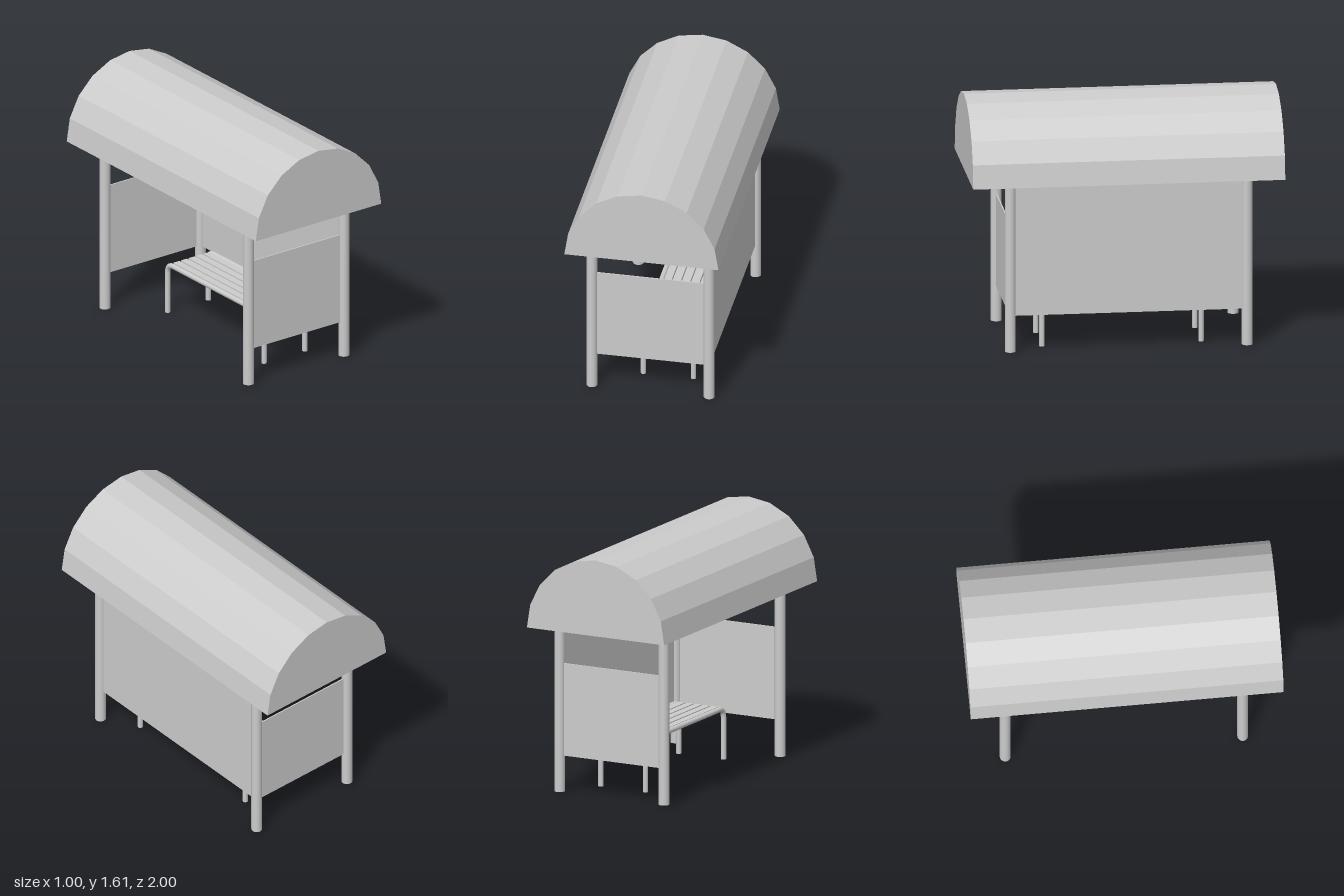
import * as THREE from 'three';

const material = new THREE.MeshStandardMaterial({ color: 0xcccccc });
const flat = new THREE.MeshStandardMaterial({ color: 0xcccccc, flatShading: true });

function add(parent, name, geometry, x, y, z, mat = material) {
  const mesh = new THREE.Mesh(geometry, mat);
  mesh.name = name;
  mesh.position.set(x, y, z);
  parent.add(mesh);
  return mesh;
}

export function createModel() {
  const shelter = new THREE.Group();
  shelter.name = 'shelter';

  const xLeft = 0.39, xRight = -0.37, zFront = 0.75, zBack = -0.768;
  const xMid = (xLeft + xRight) / 2, zMid = (zFront + zBack) / 2;
  const eaves = 1.115, postRadius = 0.035, wallBottom = 0.245, thickness = 0.008;

  // Barrel roof: solid half cylinder with ten facets
  const arc = [];
  for (let i = 0; i <= 10; i++) {
    const a = (i / 10) * Math.PI;
    arc.push(new THREE.Vector2(0.5 * Math.cos(a), 0.497 * Math.sin(a)));
  }
  const roof = new THREE.ExtrudeGeometry(new THREE.Shape(arc), { depth: 2, bevelEnabled: false });
  add(shelter, 'roof', roof, 0, eaves, -1, flat);

  // Four corner posts
  const postGeometry = new THREE.CylinderGeometry(postRadius, postRadius, eaves - 0.01, 16);
  for (const x of [xLeft, xRight])
    for (const z of [zFront, zBack]) add(shelter, 'post', postGeometry, x, (eaves + 0.01) / 2, z);

  // Low end walls and the full-height long wall
  const endGeometry = new THREE.BoxGeometry(xLeft - xRight - postRadius, 0.85 - wallBottom, thickness);
  for (const z of [zFront, zBack]) add(shelter, 'endWall', endGeometry, xMid, (0.85 + wallBottom) / 2, z);
  const longGeometry = new THREE.BoxGeometry(thickness, eaves - wallBottom, zFront - zBack - postRadius);
  add(shelter, 'longWall', longGeometry, xLeft, (eaves + wallBottom) / 2, zMid);

  // Bench: two bent tube frames carrying a slatted seat
  const bench = new THREE.Group();
  bench.name = 'bench';
  shelter.add(bench);
  const benchFront = 0.53, benchBack = -0.49, top = 0.335, bend = 0.06;
  const v = (y, z) => new THREE.Vector3(0, y, z);
  const path = new THREE.CurvePath();
  path.add(new THREE.LineCurve3(v(0, benchFront), v(top - bend, benchFront)));
  path.add(new THREE.QuadraticBezierCurve3(v(top - bend, benchFront), v(top, benchFront), v(top, benchFront - bend)));
  path.add(new THREE.LineCurve3(v(top, benchFront - bend), v(top, benchBack + bend)));
  path.add(new THREE.QuadraticBezierCurve3(v(top, benchBack + bend), v(top, benchBack), v(top - bend, benchBack)));
  path.add(new THREE.LineCurve3(v(top - bend, benchBack), v(0, benchBack)));
  const tube = new THREE.TubeGeometry(path, 90, 0.0175, 12, false);
  const foot = new THREE.CircleGeometry(0.0175, 12).rotateX(Math.PI / 2);
  for (const x of [-0.08, 0.245]) {
    add(bench, 'benchFrame', tube, x, 0, 0);
    for (const z of [benchFront, benchBack]) add(bench, 'footCap', foot, x, 0.001, z);
  }

  // Seat plate and five slats running along the bench
  const seatLength = 0.95, seatZ = (benchFront + benchBack) / 2, slats = 5, pitch = 0.3 / slats;
  add(bench, 'seatPlate', new THREE.BoxGeometry(0.31, 0.006, seatLength), 0.0825, top - 0.01, seatZ);
  const slat = new THREE.BoxGeometry(pitch - 0.012, 0.02, seatLength);
  for (let i = 0; i < slats; i++)
    add(bench, 'seatSlat', slat, 0.0825 + (i - (slats - 1) / 2) * pitch, top + 0.003, seatZ);

  return shelter;
}
